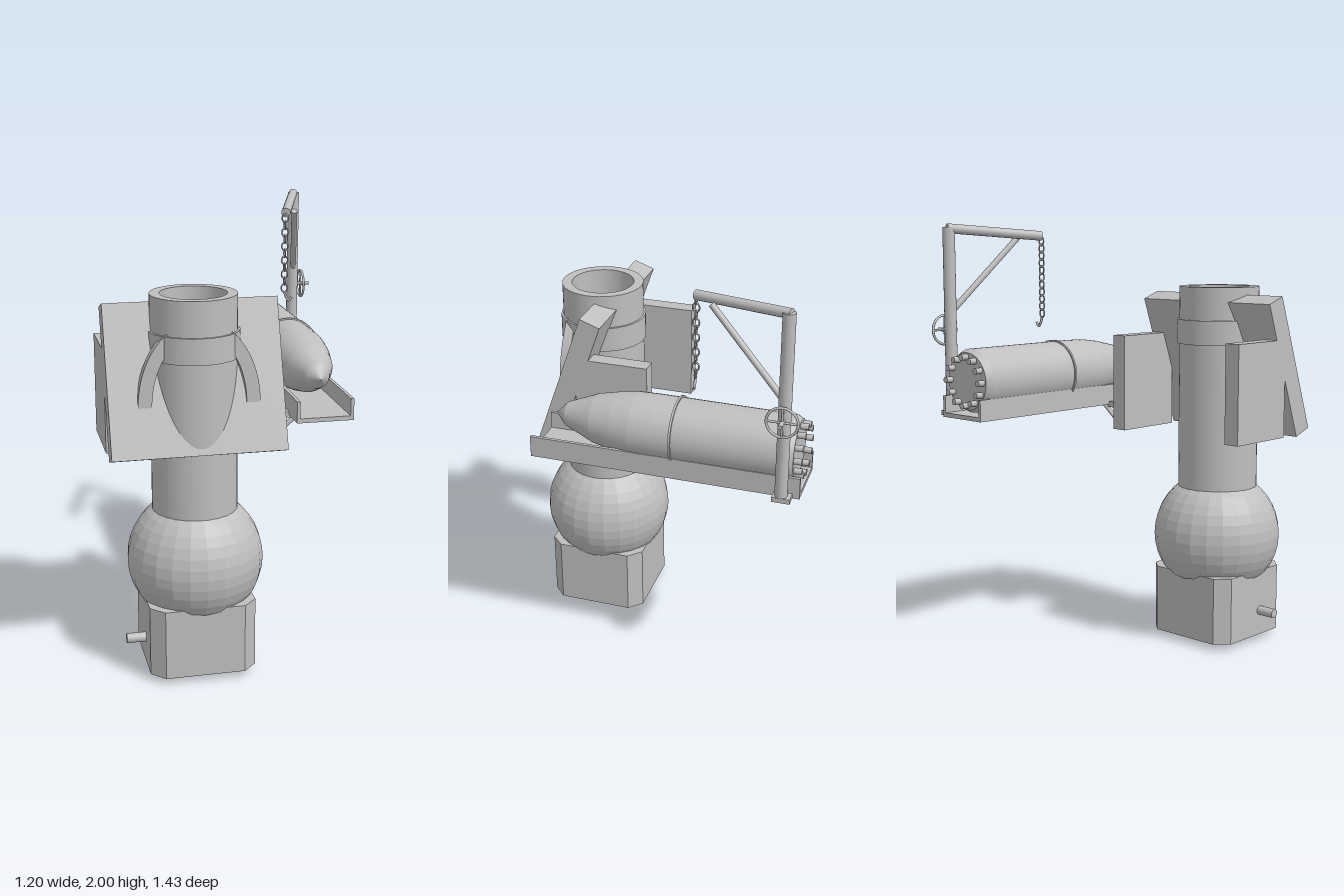
import * as THREE from 'three';

export function createModel() {
  const group = new THREE.Group();
  const grey = new THREE.MeshStandardMaterial({ color: 0xbfbfbf });
  const AX = -0.21, AZ = 0.41; // vertical gun axis

  const add = (name, geo, x = 0, y = 0, z = 0, parent = group) => {
    const m = new THREE.Mesh(geo, grey);
    m.name = name;
    m.position.set(x, y, z);
    parent.add(m);
    return m;
  };
  // Box given by its minimum and maximum corners
  const box = (name, x0, x1, y0, y1, z0, z1) =>
    add(name, new THREE.BoxGeometry(x1 - x0, y1 - y0, z1 - z0), (x0 + x1) / 2, (y0 + y1) / 2, (z0 + z1) / 2);
  // Round bar between two points
  const bar = (name, a, b, r, parent = group) => {
    const p = new THREE.Vector3(...a), q = new THREE.Vector3(...b);
    const d = q.clone().sub(p);
    const m = add(name, new THREE.CylinderGeometry(r, r, d.length(), 16), 0, 0, 0, parent);
    m.position.copy(p).add(q).multiplyScalar(0.5);
    m.quaternion.setFromUnitVectors(new THREE.Vector3(0, 1, 0), d.normalize());
    return m;
  };
  const flat = (geo) => {
    const g = geo.toNonIndexed();
    g.computeVertexNormals();
    return g;
  };
  // Lathe with a hard edge at every profile point
  const hardLathe = (pts, seg, name, x, y, z) => {
    const part = new THREE.Group();
    part.name = name;
    part.position.set(x, y, z);
    for (let i = 0; i < pts.length - 1; i++) {
      const two = [pts[i], pts[i + 1]].map((p) => new THREE.Vector2(...p));
      add(name + 'Section', new THREE.LatheGeometry(two, seg), 0, 0, 0, part);
    }
    group.add(part);
    return part;
  };
  const extrude = (shape, depth) =>
    new THREE.ExtrudeGeometry(shape, { depth, bevelEnabled: false, curveSegments: 20 });

  // Chamfered base block
  const h = 0.238, c = 0.178;
  const oct = [[h, -c], [h, c], [c, h], [-c, h], [-h, c], [-h, -c], [-c, -h], [c, -h]];
  const base = extrude(new THREE.Shape(oct.map((p) => new THREE.Vector2(...p))), 0.32);
  base.rotateX(-Math.PI / 2);
  add('base', base, AX, 0.03, AZ);
  add('baseKnob', new THREE.CylinderGeometry(0.09, 0.07, 0.03, 24), AX, 0.015, AZ);
  bar('basePin', [-0.535, 0.15, 0.455], [-0.44, 0.15, 0.455], 0.022);

  // Ball joint and barrel
  add('ball', flat(new THREE.SphereGeometry(0.305, 24, 20)), AX, 0.51, AZ);
  hardLathe([[0.19, 0.68], [0.19, 1.71], [0.145, 1.71], [0.145, 1.56], [0, 1.56]], 48, 'barrel', AX, 0, AZ);
  hardLathe([[0.19, 1.44], [0.2, 1.44], [0.2, 1.555], [0.19, 1.555]], 48, 'barrelBand', AX, 0, AZ);

  // Sloping shield, notched where the bore passes through
  const sh = new THREE.Shape();
  [[-0.6, 0], [0.165, 0], [0.165, 0.668], [AX + 0.146, 0.668], [AX + 0.146, 0.4],
    [AX - 0.146, 0.4], [AX - 0.146, 0.668], [-0.6, 0.668]]
    .forEach(([x, y], i) => (i ? sh.lineTo(x, y) : sh.moveTo(x, y)));
  add('shield', extrude(sh, 0.1), 0, 1.012, 0.515).rotation.x = -0.343;
  box('rightShieldWing', -0.6, -0.525, 1.02, 1.475, 0.07, 0.415);
  box('leftShieldWing', 0.09, 0.165, 1.02, 1.475, 0.07, 0.415);

  // Arched yoke through the barrel
  const arch = new THREE.Shape();
  arch.moveTo(0.265, 0);
  arch.absellipse(0, 0, 0.265, 0.37, 0, Math.PI, false);
  arch.lineTo(-0.205, 0);
  arch.absellipse(0, 0, 0.205, 0.31, Math.PI, 0, true);
  add('yoke', extrude(arch, 0.045), AX, 1.25, 0.495);

  // Loading tray with brackets
  box('trayFloor', 0.23, 0.487, 1.13, 1.15, -0.715, 0.51);
  box('trayRightWall', 0.228, 0.243, 1.13, 1.228, -0.715, 0.51);
  box('trayLeftWall', 0.472, 0.487, 1.13, 1.228, -0.715, 0.51);
  for (const z of [0.124, 0.355]) {
    box('trayBracket', 0.16, 0.235, 1.118, 1.145, z - 0.021, z + 0.021);
    bar('trayStrut', [0.16, 1.03, z], [0.285, 1.135, z], 0.011);
  }

  // Shell lying in the tray, nose forward
  const shell = hardLathe([[0, -0.68], [0.13, -0.68], [0.145, -0.65], [0.147, -0.05], [0.145, 0.05],
    [0.132, 0.14], [0.11, 0.24], [0.055, 0.375], [0, 0.43]], 40, 'shell', 0.357, 1.3, 0);
  shell.rotation.x = Math.PI / 2;
  hardLathe([[0.146, -0.147], [0.154, -0.147], [0.154, -0.137], [0.146, -0.137]], 40, 'shellBand', 0.357, 1.3, 0)
    .rotation.x = Math.PI / 2;
  for (let i = 0; i < 12; i++) {
    const a = (i / 12) * Math.PI * 2;
    const x = 0.357 + 0.11 * Math.cos(a), y = 1.3 + 0.11 * Math.sin(a);
    bar('shellStud', [x, y, -0.67], [x, y, -0.715], 0.014);
  }

  // Crane
  const PX = 0.513, PZ = -0.641;
  box('craneFoot', 0.48, 0.541, 1.13, 1.152, -0.685, -0.605);
  bar('cranePost', [PX, 1.13, PZ], [PX, 1.985, PZ], 0.028);
  bar('craneBeam', [PX, 1.98, PZ - 0.01], [0.36, 1.945, -0.215], 0.022);
  bar('craneBrace', [PX, 1.61, PZ + 0.015], [0.425, 1.94, -0.3], 0.014);

  // Chain of alternately turned links, and its hook
  const CX = 0.357, CZ = -0.215;
  for (let i = 0; i < 11; i++) {
    const link = add('chainLink', new THREE.TorusGeometry(0.015, 0.0035, 6, 14), CX, 1.92 - i * 0.0335, CZ);
    link.scale.y = 1.3;
    link.rotation.y = (i % 2) * Math.PI / 2;
  }
  const hookPath = new THREE.CatmullRomCurve3(
    [[CX, 1.57], [CX + 0.008, 1.545], [CX + 0.024, 1.523], [CX + 0.038, 1.54]]
      .map(([x, y]) => new THREE.Vector3(x, y, CZ)));
  add('hook', new THREE.TubeGeometry(hookPath, 16, 0.006, 8));

  // Handwheel on the post
  const WY = 1.52, WX = 0.557;
  add('handwheelRim', new THREE.TorusGeometry(0.067, 0.006, 8, 32), WX, WY, PZ).rotation.y = Math.PI / 2;
  bar('handwheelSpoke', [WX, WY - 0.067, PZ], [WX, WY + 0.067, PZ], 0.005);
  bar('handwheelSpoke', [WX, WY, PZ - 0.067], [WX, WY, PZ + 0.067], 0.005);
  bar('handwheelAxle', [PX, WY, PZ], [0.6, WY, PZ], 0.009);

  return group;
}
